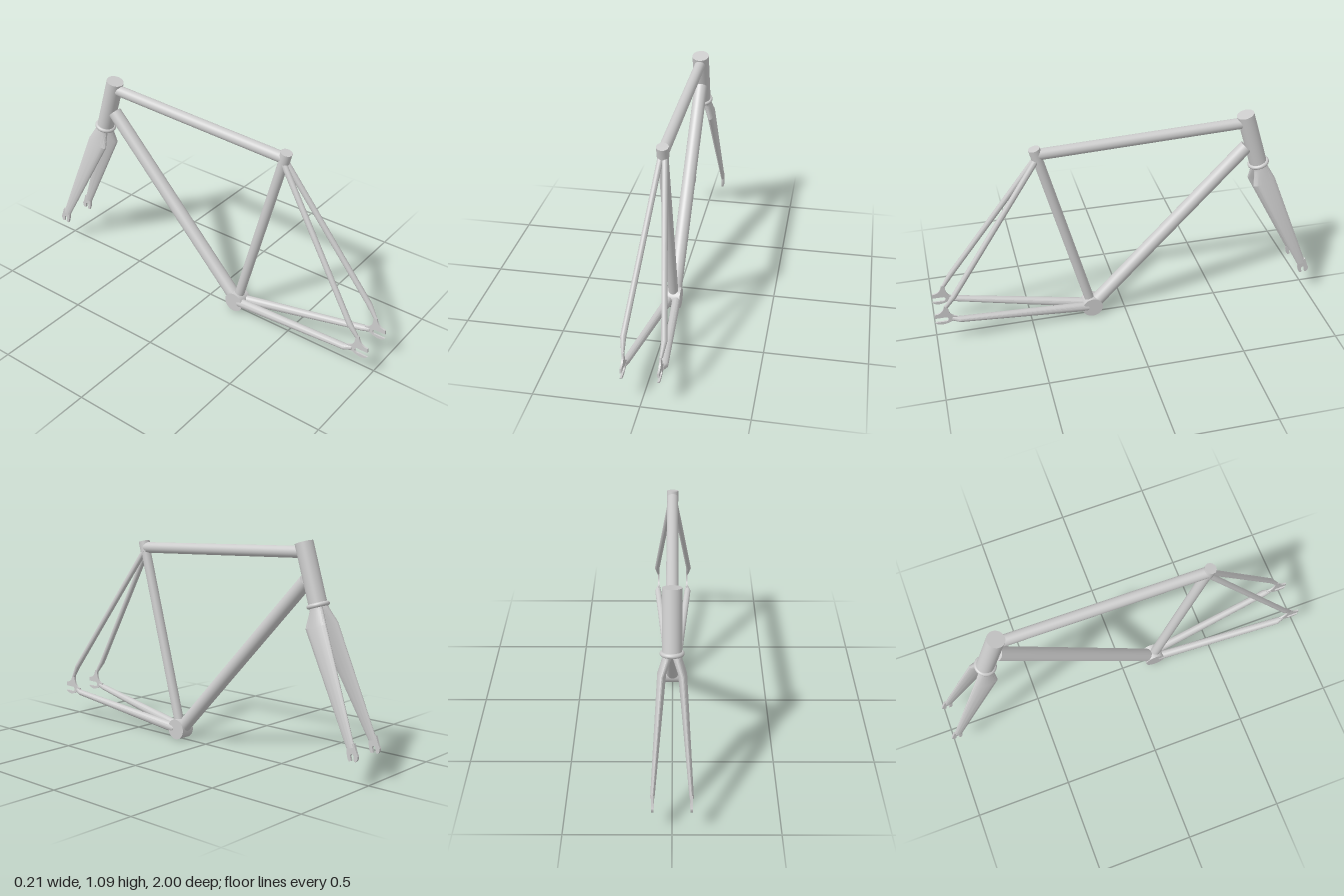
import * as THREE from 'three';
import { toCreasedNormals } from 'three/addons/utils/BufferGeometryUtils.js';

const material = new THREE.MeshStandardMaterial({ color: 0xcccccc, side: THREE.DoubleSide });
const V = (x, y, z) => new THREE.Vector3(x, y, z);

function part(name, geometry) {
  const mesh = new THREE.Mesh(geometry, material);
  mesh.name = name;
  return mesh;
}

// Round tube between two points
function tube(name, a, b, radius) {
  const mesh = part(name, new THREE.CylinderGeometry(radius, radius, a.distanceTo(b), 40));
  mesh.position.copy(a).add(b).multiplyScalar(0.5);
  mesh.quaternion.setFromUnitVectors(V(0, 1, 0), b.clone().sub(a).normalize());
  return mesh;
}

// Oval loft: sections are [x, y, z, half width in x, half depth in the side plane]
function loft(name, sections, dir, side, n = 24) {
  const pos = [], index = [];
  const across = dir.clone().normalize().cross(V(1, 0, 0));
  for (const [x, y, z, rx, rv] of sections) {
    for (let i = 0; i < n; i++) {
      const t = (i / n) * Math.PI * 2, s = Math.sin(t) * rv;
      pos.push(x * side + Math.cos(t) * rx, y + across.y * s, z + across.z * s);
    }
  }
  const last = (sections.length - 1) * n;
  for (let j = 0; j < last; j += n) {
    for (let i = 0; i < n; i++) {
      const k = (i + 1) % n;
      index.push(j + i, j + k, j + n + k, j + i, j + n + k, j + n + i);
    }
  }
  for (let i = 1; i < n - 1; i++) index.push(0, i + 1, i, last, last + i, last + i + 1);
  const g = new THREE.BufferGeometry();
  g.setAttribute('position', new THREE.Float32BufferAttribute(pos, 3));
  g.setIndex(index);
  return part(name, toCreasedNormals(g, 0.35));
}

// Flat plate drawn in the side plane (z, y) and extruded along x
function plate(name, shape, x, thickness) {
  const g = new THREE.ExtrudeGeometry(shape, { depth: thickness, bevelEnabled: false, curveSegments: 10 });
  g.translate(0, 0, -thickness / 2).rotateY(-Math.PI / 2);
  const mesh = part(name, g);
  mesh.position.x = x;
  return mesh;
}

// Rear dropout with a rearward slot
function rearDropoutShape() {
  const s = new THREE.Shape();
  s.moveTo(0.929, 0.25);
  s.lineTo(0.948, 0.245);
  s.quadraticCurveTo(0.955, 0.2, 0.998, 0.198);
  s.lineTo(1, 0.176);
  s.lineTo(0.945, 0.176);
  s.absarc(0.945, 0.163, 0.013, Math.PI / 2, Math.PI * 1.5, false);
  s.lineTo(1, 0.15);
  s.quadraticCurveTo(0.99, 0.134, 0.962, 0.134);
  s.quadraticCurveTo(0.935, 0.137, 0.92, 0.146);
  s.lineTo(0.888, 0.149);
  s.lineTo(0.888, 0.174);
  s.quadraticCurveTo(0.935, 0.178, 0.929, 0.25);
  return s;
}

// Front dropout with a slot opening downward
function frontDropoutShape() {
  const s = new THREE.Shape();
  s.moveTo(-0.938, 0.2);
  s.lineTo(-0.978, 0.215);
  s.quadraticCurveTo(-0.99, 0.175, -1, 0.158);
  s.quadraticCurveTo(-1, 0.14, -0.99, 0.132);
  s.lineTo(-0.98, 0.133);
  s.lineTo(-0.977, 0.158);
  s.quadraticCurveTo(-0.966, 0.175, -0.958, 0.155);
  s.lineTo(-0.965, 0.132);
  s.lineTo(-0.952, 0.128);
  s.quadraticCurveTo(-0.938, 0.15, -0.938, 0.2);
  return s;
}

export function createModel() {
  const model = new THREE.Group();
  model.name = 'bicycleFrame';

  const bracket = V(0, 0.055, 0.18);
  const seatTop = V(0, 1.027, 0.442);
  const headTop = V(0, 1.08, -0.612);
  const headBottom = V(0, 0.797, -0.699);
  const headDir = headBottom.clone().sub(headTop).normalize();

  // Main triangle
  model.add(
    tube('bottomBracketShell', V(-0.038, 0.055, 0.18), V(0.038, 0.055, 0.18), 0.053),
    tube('seatTube', bracket, seatTop.clone().lerp(bracket, 0.02), 0.025),
    tube('seatCollar', seatTop.clone().lerp(bracket, 0.055), seatTop, 0.029),
    tube('topTube', V(0, 0.994, 0.435), V(0, 1.035, -0.625), 0.028),
    tube('downTube', V(0, 0.05, 0.175), V(0, 0.9, -0.628), 0.035),
    tube('headTube', headTop, headBottom, 0.044)
  );

  // Headset ring under the head tube
  const ring = part('headsetRing', new THREE.TorusGeometry(0.044, 0.011, 14, 48));
  ring.position.copy(headBottom);
  ring.quaternion.setFromUnitVectors(V(0, 0, 1), headDir);
  model.add(ring);

  // Paired stays, fork blades and dropouts
  for (const side of [1, -1]) {
    const label = side > 0 ? 'left' : 'right';
    model.add(
      loft(label + 'SeatStay', [
        [0.01, 0.972, 0.434, 0.014, 0.015],
        [0.093, 0.3, 0.896, 0.014, 0.014],
        [0.087, 0.238, 0.938, 0.007, 0.01]
      ], V(0, -0.735, 0.505), side),
      loft(label + 'ChainStay', [
        [0.018, 0.054, 0.2, 0.022, 0.026],
        [0.088, 0.152, 0.875, 0.018, 0.015],
        [0.085, 0.161, 0.915, 0.007, 0.012]
      ], V(0, 0.1, 0.69), side),
      loft(label + 'ForkBlade', [
        [0.022, 0.797, -0.7, 0.021, 0.035],
        [0.024, 0.775, -0.707, 0.021, 0.037],
        [0.046, 0.705, -0.722, 0.02, 0.059],
        [0.088, 0.19, -0.957, 0.01, 0.022]
      ], headDir, side),
      plate(label + 'RearDropout', rearDropoutShape(), 0.085 * side, 0.009),
      plate(label + 'FrontDropout', frontDropoutShape(), 0.088 * side, 0.012)
    );
  }
  return model;
}
